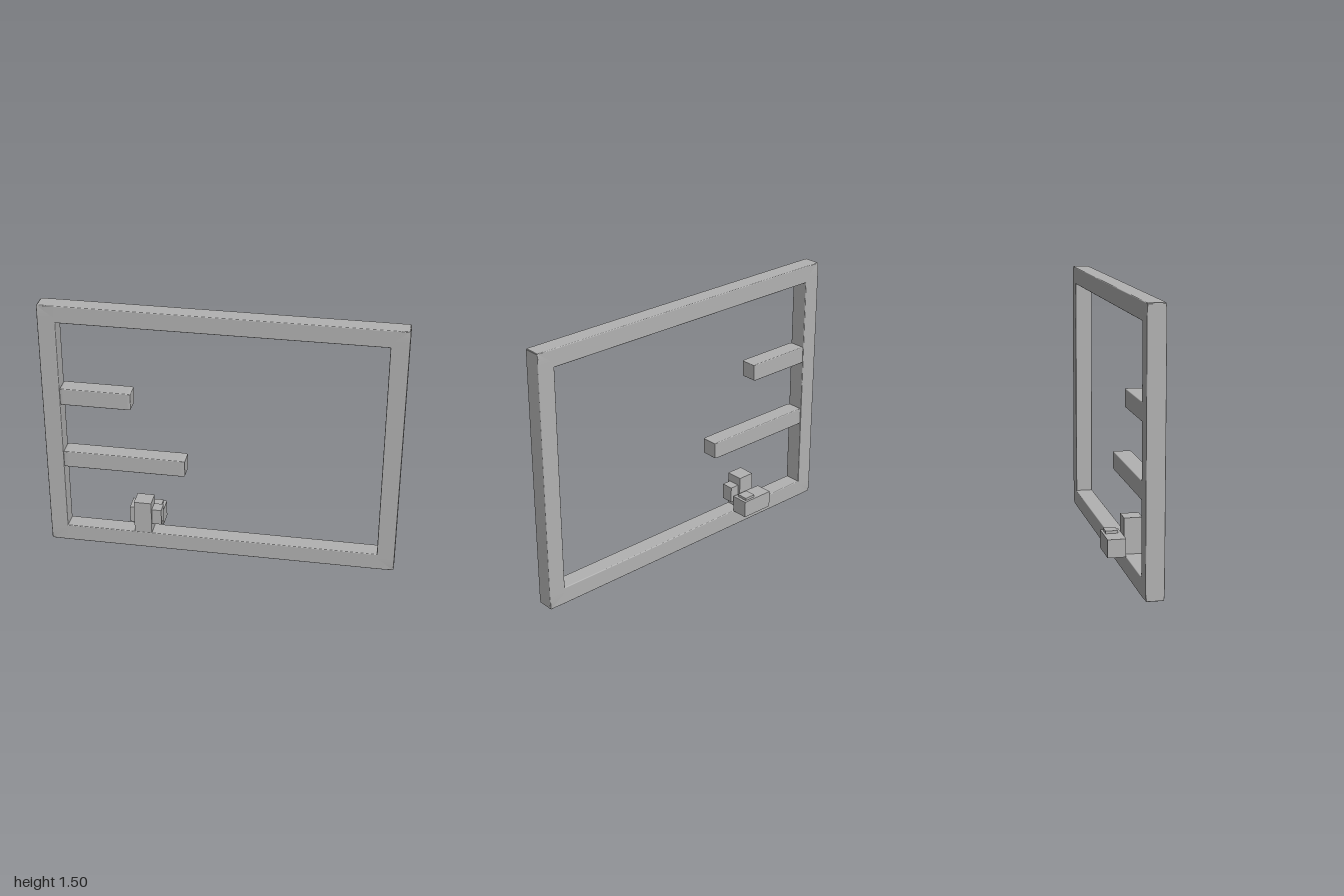
import * as THREE from 'three';
import { RoundedBoxGeometry } from 'three/addons/geometries/RoundedBoxGeometry.js';

export function createModel() {
  const model = new THREE.Group();
  model.name = 'framedLevel';
  const grey = new THREE.MeshStandardMaterial({ color: 0xb2b2b2 });
  grey.name = 'grey';

  const softCube = new RoundedBoxGeometry(1, 1, 1, 3, 0.05);
  const sharpCube = new THREE.BoxGeometry(1, 1, 1);

  // Places a unit cube so that it fills the given x, y and z ranges
  function block(name, geometry, [x0, x1], [y0, y1], [z0, z1]) {
    const mesh = new THREE.Mesh(geometry, grey);
    mesh.name = name;
    mesh.scale.set(x1 - x0, y1 - y0, z1 - z0);
    mesh.position.set((x0 + x1) / 2, (y0 + y1) / 2, (z0 + z1) / 2);
    model.add(mesh);
  }

  // Bars with softened edges, stretched along their length
  const depth = [0, 0.1];
  block('floorBar', softCube, [-1, 1], [0, 0.1], depth);
  block('ceilingBar', softCube, [-1, 1], [1.4, 1.5], depth);
  block('rightWallBar', softCube, [-1, -0.9], [0, 1.5], depth);
  block('leftWallBar', softCube, [0.9, 1], [0, 1.5], depth);
  block('lowerShelf', softCube, [-0.9, -0.2], [0.5, 0.6], depth);
  block('upperShelf', softCube, [-0.9, -0.5], [0.9, 1], depth);

  // Upright block with a small block on its side
  block('uprightBlock', sharpCube, [-0.5, -0.4], [0.1, 0.3], depth);
  block('uprightSideBlock', sharpCube, [-0.41, -0.345], [0.155, 0.25], [0.015, 0.085]);

  // Lying block behind it with a small raised block on top
  block('lyingBlock', sharpCube, [-0.55, -0.35], [0.1, 0.2], [-0.1, 0]);
  block('lyingTopBlock', sharpCube, [-0.435, -0.367], [0.15, 0.215], [-0.087, -0.02]);

  return model;
}
